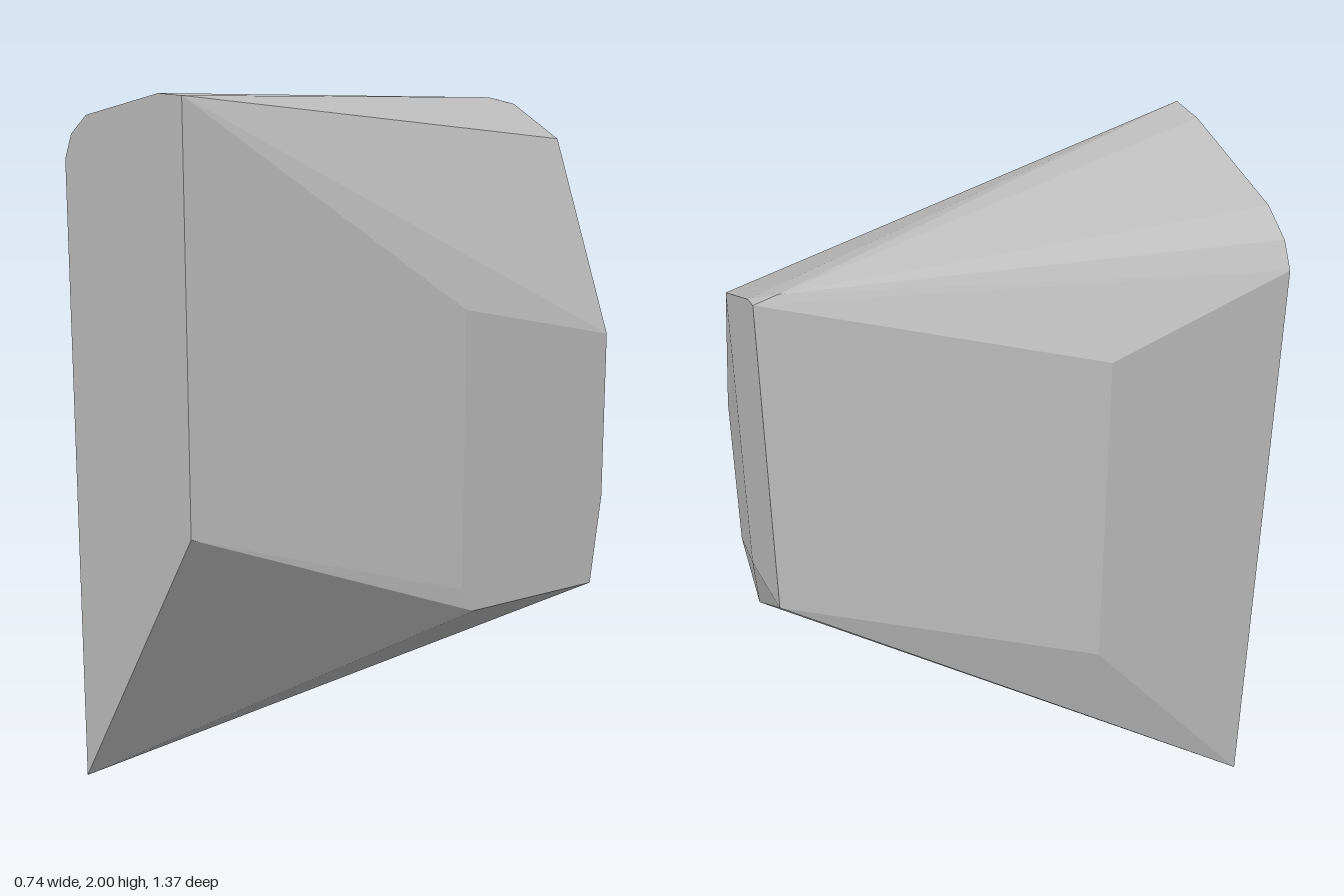
import * as THREE from 'three';
import { ConvexGeometry } from 'three/addons/geometries/ConvexGeometry.js';

// Corners of the faceted stone, grouped by the plane they lie on
const frontFace = [
  [-0.37, 0], [0.265, 0.88], [0.265, 2], [0.15, 2],
  [-0.24, 1.925], [-0.33, 1.87], [-0.37, 1.8],
].map(([x, y]) => new THREE.Vector3(x, y, 0.685));

const backFace = [
  [-0.16, 0.97], [0.08, 0.95], [0.08, 1.82], [-0.12, 1.91], [-0.16, 1.915],
].map(([x, y]) => new THREE.Vector3(x, y, -0.685));

const leftFace = [
  [0.55, -0.16], [0.55, -0.6], [0.81, -0.635], [1.29, -0.635], [1.41, -0.12], [0.62, -0.12],
].map(([y, z]) => new THREE.Vector3(0.37, y, z));

const rightFace = [
  [0.66, 0.18], [1.65, 0.18],
].map(([y, z]) => new THREE.Vector3(-0.37, y, z));

const topRidge = [new THREE.Vector3(-0.16, 1.93, -0.62)];

export function createModel() {
  const group = new THREE.Group();
  group.name = 'rockShard';

  const stone = new THREE.MeshStandardMaterial({ color: 0xc0c0c0 });
  stone.name = 'stone grey';

  // One convex, flat-sided shard
  const shard = new THREE.Mesh(
    new ConvexGeometry([...frontFace, ...backFace, ...leftFace, ...rightFace, ...topRidge]),
    stone,
  );
  shard.name = 'shard';
  group.add(shard);
  return group;
}
